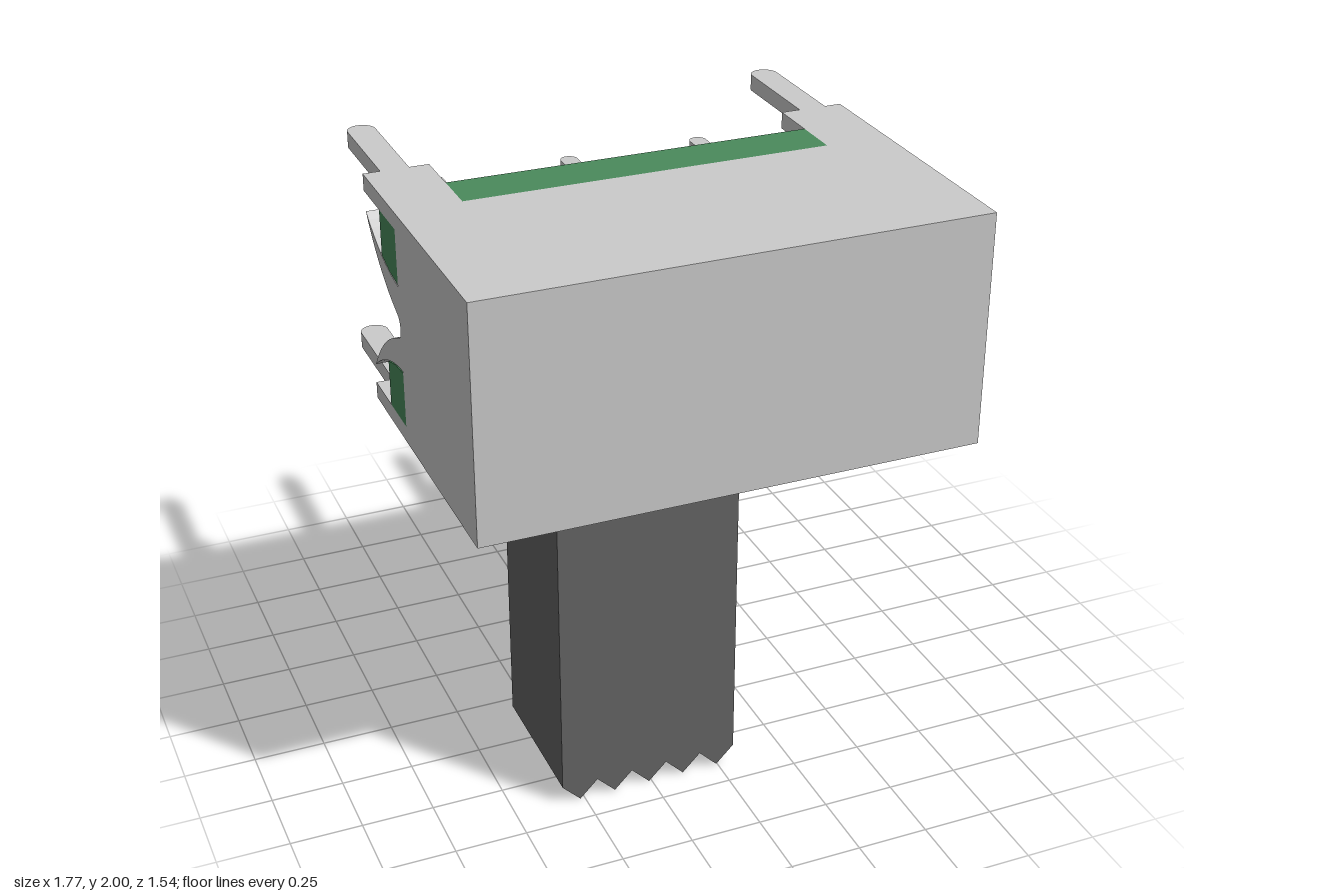
import * as THREE from 'three';

const grey = new THREE.MeshStandardMaterial({ color: 0xcccccc });
const dark = new THREE.MeshStandardMaterial({ color: 0x646464 });
const green = new THREE.MeshStandardMaterial({ color: 0x4a8a5c });

const W = 0.885, FRONT = 0.77, BACK = 0.03, BOARD_BACK = -0.145;
const TOP = 2, BOTTOM = 1.165, T = 0.06;

export function createModel() {
  const model = new THREE.Group();

  const add = (name, geometry, material) => {
    const mesh = new THREE.Mesh(geometry, material);
    mesh.name = name;
    model.add(mesh);
    return mesh;
  };
  const extrude = (shape, depth) =>
    new THREE.ExtrudeGeometry(shape, { depth, bevelEnabled: false, curveSegments: 12 });
  const polygon = (points) => new THREE.Shape(points.map(([x, y]) => new THREE.Vector2(x, y)));
  // Plan outline (x, z), extruded down from a height
  const slabY = (shape, top, depth) => extrude(shape, depth).rotateX(Math.PI / 2).translate(0, top, 0);
  // Side outline (-z, y), extruded towards +x
  const slabX = (shape, x, depth) => extrude(shape, depth).rotateY(Math.PI / 2).translate(x, 0, 0);
  const box = (x0, x1, y0, y1, z0, z1) =>
    new THREE.BoxGeometry(x1 - x0, y1 - y0, z1 - z0)
      .translate((x0 + x1) / 2, (y0 + y1) / 2, (z0 + z1) / 2);

  // Top and bottom plates, each with two stepped mounting legs
  const plate = (slot) => {
    const s = new THREE.Shape();
    s.moveTo(-W, FRONT);
    s.lineTo(-W, -0.325);
    s.lineTo(-0.825, -0.325);
    s.lineTo(-0.825, -0.725);
    s.absarc(-0.775, -0.725, 0.05, Math.PI, Math.PI * 1.5, false);
    s.absarc(-0.775, -0.725, 0.05, Math.PI * 1.5, Math.PI * 2, false);
    s.lineTo(-0.725, -0.325);
    s.lineTo(-0.655, -0.325);
    s.lineTo(-0.655, BACK);
    if (slot) [[-0.53, BACK], [-0.53, 0.55], [0.53, 0.55], [0.53, BACK]].forEach((p) => s.lineTo(...p));
    s.lineTo(0.655, BACK);
    s.lineTo(0.655, -0.325);
    s.lineTo(0.725, -0.325);
    s.lineTo(0.725, -0.725);
    s.absarc(0.775, -0.725, 0.05, Math.PI, Math.PI * 2, false);
    s.lineTo(0.825, -0.325);
    s.lineTo(W, -0.325);
    s.lineTo(W, FRONT);
    return s;
  };
  add('topPlate', slabY(plate(false), TOP, T), grey);
  add('bottomPlate', slabY(plate(true), BOTTOM + T, T), grey);
  add('frontWall', box(-W, W, BOTTOM + T, TOP - T, FRONT - T, FRONT), grey);

  // Side walls with two curved spring prongs at the back
  const wall = new THREE.Shape();
  wall.moveTo(T - FRONT, BOTTOM + T);
  wall.lineTo(-BACK, BOTTOM + T);
  wall.lineTo(-BACK, 1.43);
  wall.quadraticCurveTo(0.15, 1.42, 0.315, 1.3);
  wall.quadraticCurveTo(0.19, 1.47, 0, 1.54);
  wall.quadraticCurveTo(-BACK, 1.55, -BACK, 1.585);
  wall.quadraticCurveTo(-BACK, 1.62, 0, 1.63);
  wall.quadraticCurveTo(0.19, 1.7, 0.315, 1.87);
  wall.quadraticCurveTo(0.15, 1.75, -BACK, 1.74);
  wall.lineTo(-BACK, TOP - T);
  wall.lineTo(T - FRONT, TOP - T);

  for (const side of [1, -1]) {
    const label = side > 0 ? 'left' : 'right';
    const x = side > 0 ? W - T : -W;
    add(label + 'SideWall', slabX(wall, x, T), grey);
    // Board tabs above and below the prongs
    add(label + 'UpperBoardTab', slabX(polygon(
      [[-BACK, 1.745], [0.06, 1.755], [-BOARD_BACK, 1.78], [-BOARD_BACK, TOP - T], [-BACK, TOP - T]]), x, T), green);
    add(label + 'LowerBoardTab', slabX(polygon(
      [[-BACK, BOTTOM + T], [-BOARD_BACK, BOTTOM + T], [-BOARD_BACK, 1.39], [0.06, 1.415], [-BACK, 1.425]]), x, T), green);
  }

  // Terminal board closing the back
  const half = [[0.655, BOTTOM], [0.655, BOTTOM + T], [W - T, BOTTOM + T],
    [W - T, TOP - T], [0.655, TOP - T], [0.655, TOP]];
  const outline = [...half, ...half.map(([x, y]) => [-x, y]).reverse()];
  add('terminalBoard', extrude(polygon(outline), BACK - BOARD_BACK).translate(0, 0, BOARD_BACK), green);

  // Three terminal pins with rounded ends
  const pin = new THREE.Shape();
  pin.moveTo(0.032, BOARD_BACK);
  pin.lineTo(-0.032, BOARD_BACK);
  pin.lineTo(-0.032, -0.743);
  pin.absarc(0, -0.743, 0.032, Math.PI, Math.PI * 2, false);
  for (const x of [-0.515, 0, 0.515]) {
    add('terminalPin', slabY(pin, 1.77, 0.05).translate(x, 0, 0), grey);
  }

  // Slider: carriage inside the housing, neck through the slot, handle with toothed end
  add('sliderCarriage', box(-0.82, 0.82, 1.24, 1.6, 0.035, 0.7), dark);
  add('sliderNeck', box(-0.515, 0, 1.1, 1.25, 0.035, 0.55), dark);
  const handle = [[0.06, 1.1], [-0.58, 1.1]];
  for (let i = 0; i <= 10; i++) {
    handle.push([-0.58 + i * 0.064, i % 2 ? 0 : 0.065]);
  }
  add('sliderHandle', extrude(polygon(handle), 0.515).translate(0, 0, 0.132), dark);

  return model;
}
